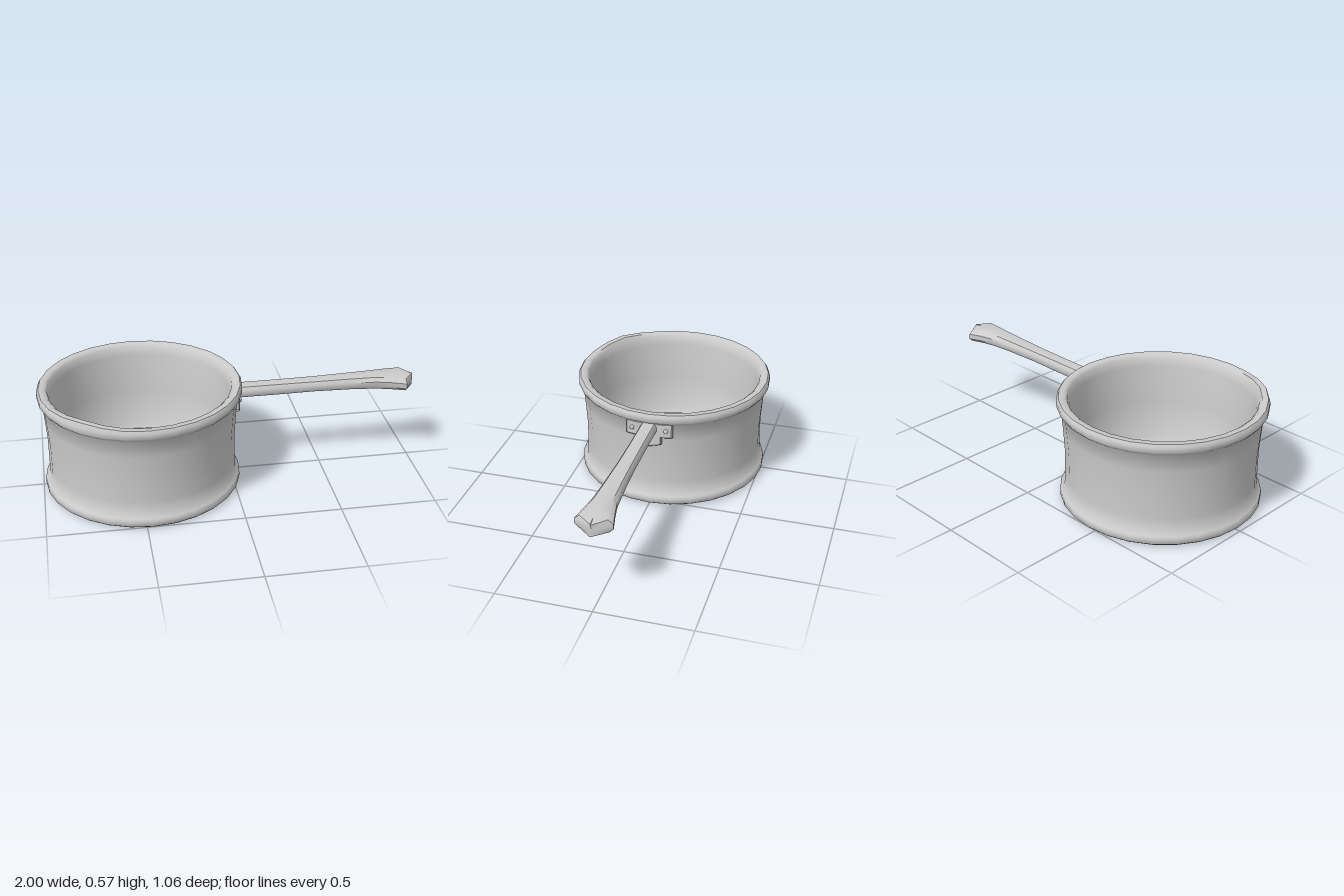
import * as THREE from 'three';
import { toCreasedNormals } from 'three/addons/utils/BufferGeometryUtils.js';

const material = new THREE.MeshStandardMaterial({ color: 0xcccccc });
const POT_X = -0.47;

function addMesh(parent, name, geometry, x = 0, y = 0, z = 0) {
  const mesh = new THREE.Mesh(geometry, material);
  mesh.name = name;
  mesh.position.set(x, y, z);
  parent.add(mesh);
  return mesh;
}

// Pot: outer wall, rolled rim and hollow inside in one turned profile
function potGeometry() {
  const profile = [
    [0, 0.004], [0.46, 0], [0.508, 0.006], [0.517, 0.015], [0.517, 0.042], [0.51, 0.054], [0.495, 0.07],
    [0.491, 0.14], [0.491, 0.28], [0.499, 0.4], [0.508, 0.495],
    [0.522, 0.508], [0.53, 0.52], [0.53, 0.546], [0.52, 0.56], [0.49, 0.56], [0.476, 0.548],
    [0.468, 0.5], [0.448, 0.3], [0.432, 0.09], [0.415, 0.065], [0, 0.06],
  ].map(([r, y]) => new THREE.Vector2(r, y));
  const geometry = new THREE.LatheGeometry(profile, 28);
  // slight raised spot on the rim
  const p = geometry.attributes.position;
  for (let i = 0; i < p.count; i++) {
    if (p.getY(i) < 0.555) continue;
    const d = Math.hypot(p.getX(i) + 0.31, p.getZ(i) - 0.4);
    p.setY(i, p.getY(i) + 0.014 * Math.max(0, 1 - d / 0.2));
  }
  return toCreasedNormals(geometry, 0.85);
}

// Handle: chamfered cross-sections [x, bottom, top, half width] joined along x
function handleGeometry() {
  const sections = [
    [0.03, 0.447, 0.507, 0.043], [0.25, 0.447, 0.507, 0.043], [0.45, 0.45, 0.508, 0.046],
    [0.65, 0.449, 0.511, 0.054], [0.78, 0.445, 0.513, 0.062], [0.86, 0.441, 0.511, 0.077],
    [0.94, 0.434, 0.505, 0.095], [0.995, 0.43, 0.498, 0.005],
  ];
  const ring = [[-0.8, 0], [-1, 0.25], [-1, 0.65], [-0.72, 0.94], [0, 1],
    [0.72, 0.94], [1, 0.65], [1, 0.25], [0.8, 0]];
  const n = ring.length, positions = [], index = [];
  for (const [x, bottom, top, half] of sections) {
    for (const [w, h] of ring) positions.push(x, bottom + (top - bottom) * h, w * half);
  }
  for (let s = 0; s < sections.length - 1; s++) {
    for (let i = 0; i < n; i++) {
      const a = s * n + i, b = s * n + (i + 1) % n;
      index.push(a, b, a + n, b, b + n, a + n);
    }
  }
  const last = (sections.length - 1) * n;
  for (let i = 1; i < n - 1; i++) {
    index.push(0, i + 1, i, last, last + i, last + i + 1);
  }
  const geometry = new THREE.BufferGeometry();
  geometry.setAttribute('position', new THREE.Float32BufferAttribute(positions, 3));
  geometry.setIndex(index);
  return toCreasedNormals(geometry, 0.7);
}

// Mounting plate: T-shaped outline, bent to follow the pot wall
function bracketGeometry() {
  const half = [[0.03, 0.378], [0.062, 0.386], [0.062, 0.428], [0.12, 0.428], [0.12, 0.503], [0.062, 0.503]];
  const outline = [[0, 0.372], ...half, ...half.slice().reverse().map(([z, y]) => [-z, y])];
  const shape = new THREE.Shape(outline.map(([z, y]) => new THREE.Vector2(z, y)));
  const geometry = new THREE.ExtrudeGeometry(shape, {
    depth: 0.03, bevelEnabled: true, bevelSize: 0.005, bevelThickness: 0.005, bevelSegments: 1,
  });
  geometry.rotateY(Math.PI / 2);
  const p = geometry.attributes.position, r = 0.5;
  for (let i = 0; i < p.count; i++) {
    const z = p.getZ(i);
    p.setX(i, p.getX(i) - (r - Math.sqrt(r * r - z * z)));
  }
  return toCreasedNormals(geometry, 0.5);
}

export function createModel() {
  const model = new THREE.Group();
  model.name = 'saucepan';
  addMesh(model, 'pot', potGeometry(), POT_X);
  addMesh(model, 'handle', handleGeometry());
  addMesh(model, 'handleBracket', bracketGeometry(), 0.015);

  // Rivets holding the bracket to the pot
  for (const [x, y, z] of [[0.05, 0.42, 0], [0.04, 0.465, 0.092], [0.04, 0.465, -0.092]]) {
    const rivet = addMesh(model, 'rivet', new THREE.SphereGeometry(0.013, 10, 6), x, y, z);
    rivet.scale.x = 0.8;
  }
  return model;
}
